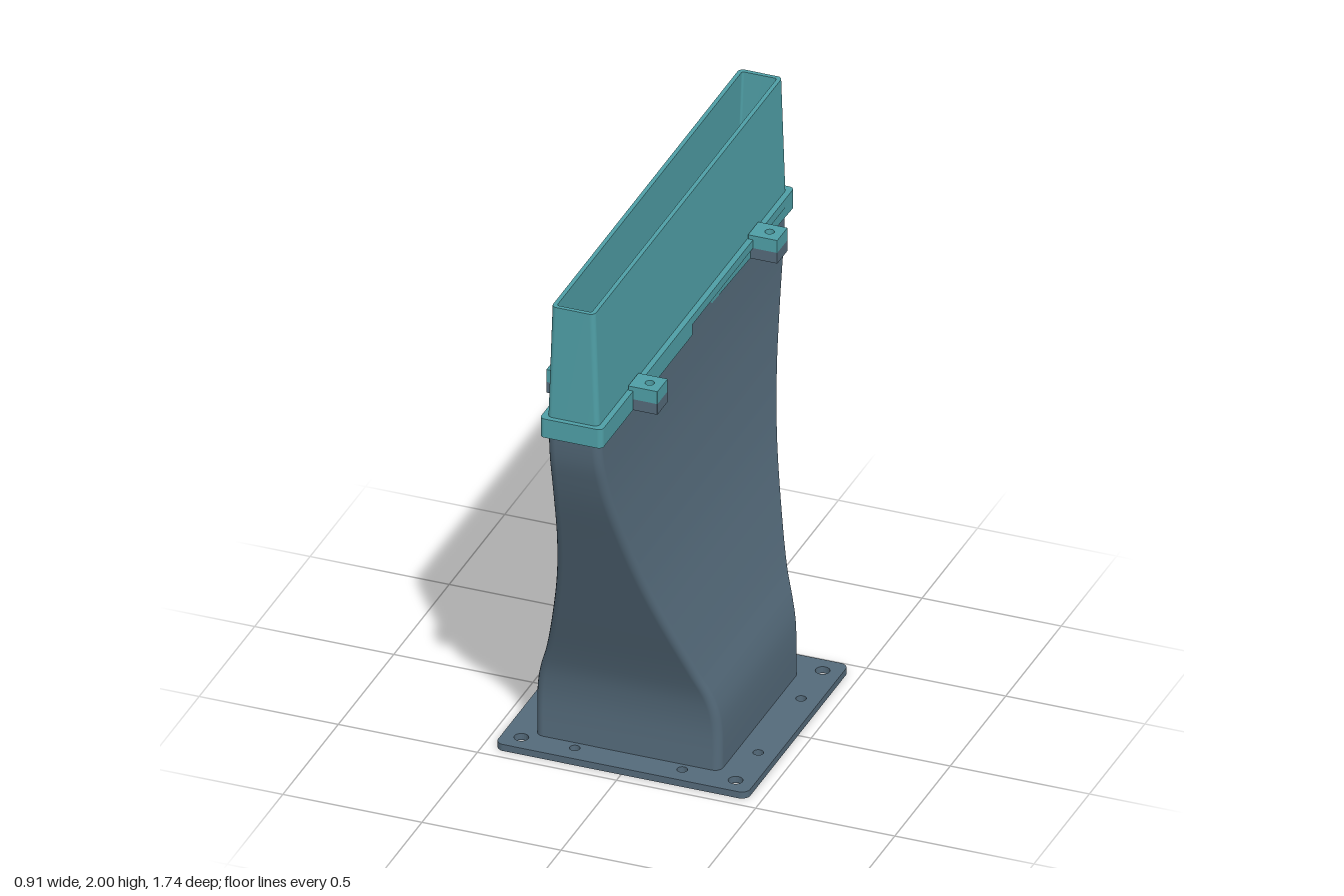
import * as THREE from 'three';

const grey = new THREE.MeshStandardMaterial({ color: 0x546a7a });
grey.name = 'slate grey';
const teal = new THREE.MeshStandardMaterial({ color: 0x4f9fa6 });
teal.name = 'teal';

// Surface through rounded-rectangle sections [y, halfX, halfZ, radius]
function skin(sections, steps = 5) {
  const pos = [], index = [], n = 4 * (steps + 1);
  for (const [y, hx, hz, r] of sections) {
    for (let c = 0; c < 4; c++) {
      const sx = c === 0 || c === 3 ? 1 : -1, sz = c < 2 ? -1 : 1;
      for (let k = 0; k <= steps; k++) {
        const a = (c + k / steps) * Math.PI / 2;
        pos.push(sx * (hx - r) + r * Math.cos(a), y, sz * (hz - r) - r * Math.sin(a));
      }
    }
  }
  for (let i = 0; i < sections.length - 1; i++) {
    for (let j = 0; j < n; j++) {
      const a = i * n + j, b = i * n + (j + 1) % n;
      index.push(a, b, b + n, a, b + n, a + n);
    }
  }
  const g = new THREE.BufferGeometry();
  g.setAttribute('position', new THREE.Float32BufferAttribute(pos, 3));
  g.setIndex(index);
  g.computeVertexNormals();
  return g;
}

// Hollow duct: outer wall, inner wall and both rims
function duct(name, material, outer, wall) {
  const group = new THREE.Group();
  group.name = name;
  const inner = outer.map(([y, x, z, r]) => [y, x - wall, z - wall, Math.max(r - wall, 0.008)]).reverse();
  const end = outer.length - 1;
  const parts = {
    OuterWall: outer, InnerWall: inner,
    TopRim: [outer[end], inner[0]], BottomRim: [inner[end], outer[0]],
  };
  for (const key in parts) {
    const mesh = new THREE.Mesh(skin(parts[key]), material);
    mesh.name = name + key;
    group.add(mesh);
  }
  return group;
}

// Rounded rectangle centred at (cx, cy)
function roundRect(Type, hx, hy, r, cx = 0, cy = 0) {
  const s = new Type();
  s.absarc(cx + hx - r, cy + hy - r, r, 0, Math.PI / 2);
  s.absarc(cx - hx + r, cy + hy - r, r, Math.PI / 2, Math.PI);
  s.absarc(cx - hx + r, cy - hy + r, r, Math.PI, Math.PI * 1.5);
  s.absarc(cx + hx - r, cy - hy + r, r, Math.PI * 1.5, Math.PI * 2);
  s.closePath();
  return s;
}

function hole(x, y, r) {
  const p = new THREE.Path();
  p.absarc(x, y, r, 0, Math.PI * 2, true);
  return p;
}

// Horizontal plate between two heights
function plate(name, shape, y0, y1, material) {
  const g = new THREE.ExtrudeGeometry(shape, { depth: y1 - y0, bevelEnabled: false, curveSegments: 10 });
  g.rotateX(-Math.PI / 2);
  g.translate(0, y0, 0);
  const mesh = new THREE.Mesh(g, material);
  mesh.name = name;
  return mesh;
}

export function createModel() {
  const model = new THREE.Group();
  model.name = 'ductAdapter';
  const cx = -0.017, cz = 0.003;

  // Mounting flange with bolt holes and the duct opening
  const flange = roundRect(THREE.Shape, 0.453, 0.46, 0.03);
  flange.holes.push(roundRect(THREE.Path, 0.315, 0.339, 0.015, cx, -cz));
  for (const s of [-1, 1]) {
    for (const t of [-1, 1]) {
      flange.holes.push(hole(s * 0.385, t * 0.392, 0.025));
      flange.holes.push(hole(s * 0.387, t * 0.193, 0.018));
      flange.holes.push(hole(s * 0.193, t * 0.392, 0.018));
    }
  }
  model.add(plate('mountingFlange', flange, 0, 0.025, grey));

  const upper = new THREE.Group();
  upper.name = 'ductAssembly';
  upper.position.set(cx, 0, cz);
  model.add(upper);

  // Transition duct: [halfX, y, halfZ], wide and short to thin and long
  const profile = new THREE.CatmullRomCurve3([
    [0.333, 0.002, 0.357], [0.333, 0.16, 0.357], [0.326, 0.24, 0.365], [0.309, 0.31, 0.38],
    [0.277, 0.4, 0.413], [0.219, 0.6, 0.501], [0.17, 0.8, 0.589], [0.135, 1, 0.677],
    [0.111, 1.2, 0.765], [0.103, 1.3, 0.803], [0.098, 1.4, 0.834],
    [0.095, 1.5, 0.849], [0.094, 1.55, 0.85],
  ].map((p) => new THREE.Vector3(...p)));
  const bodySections = profile.getPoints(60).map((p) => [p.y, p.x, p.z, 0.03]);
  upper.add(duct('transitionDuct', grey, bodySections, 0.018));

  // Tapered outlet
  upper.add(duct('outletNozzle', teal, [[1.55, 0.093, 0.85, 0.018], [2, 0.0775, 0.85, 0.018]], 0.015));

  // Collar: full ring above, two notched halves below
  const ring = roundRect(THREE.Shape, 0.1125, 0.868, 0.018);
  ring.holes.push(roundRect(THREE.Path, 0.09, 0.846, 0.018));
  upper.add(plate('collarRing', ring, 1.54, 1.572, teal));
  for (const s of [-1, 1]) {
    const half = new THREE.Shape();
    half.moveTo(0.1125, 0.05);
    half.absarc(0.0945, 0.85, 0.018, 0, Math.PI / 2);
    half.absarc(-0.0945, 0.85, 0.018, Math.PI / 2, Math.PI);
    half.lineTo(-0.1125, 0.05);
    half.lineTo(-0.092, 0.05);
    half.lineTo(-0.092, 0.845);
    half.lineTo(0.092, 0.845);
    half.lineTo(0.092, 0.05);
    half.closePath();
    const mesh = plate('collarHalf', half, 1.5, 1.54, teal);
    if (s < 0) mesh.rotation.y = Math.PI;
    upper.add(mesh);
  }

  // Paired screw tabs: grey on the duct, teal on the nozzle
  for (const s of [-1, 1]) {
    for (const t of [-1, 1]) {
      const tab = roundRect(THREE.Shape, 0.0525, 0.046, 0.002, s * 0.147, t * 0.54);
      tab.holes.push(hole(s * 0.154, t * 0.54, 0.016));
      upper.add(plate('lowerTab', tab, 1.499, 1.54, grey));
      upper.add(plate('upperTab', tab, 1.54, 1.588, teal));
    }
  }
  return model;
}
